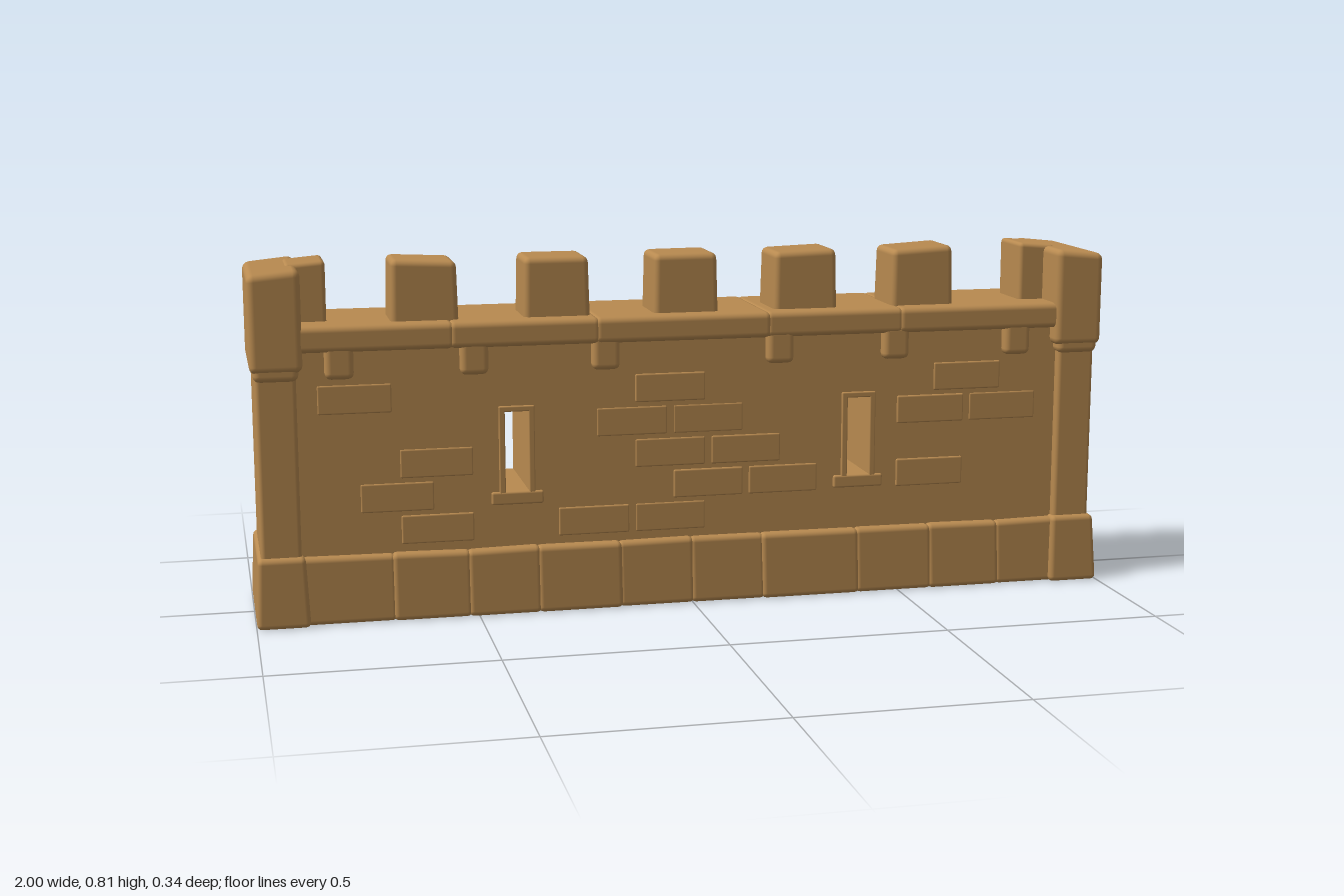
import * as THREE from 'three';
import { RoundedBoxGeometry } from 'three/addons/geometries/RoundedBoxGeometry.js';

const stone = new THREE.MeshStandardMaterial({ color: 0xb88a50 });
stone.name = 'sandstone';

// Small seeded generator for hand-cut irregularity
let seed = 7;
const rand = () => {
  seed = (seed * 16807) % 2147483647;
  return seed / 2147483647 - 0.5;
};

// Rounded stone between two corners; topX / topZ scale the upper end, lean tilts its top face
function block(name, [x0, x1], [y0, y1], [z0, z1], { r = 0.01, topX = 1, topZ = 1, lean = 0 } = {}) {
  const w = x1 - x0, h = y1 - y0, d = z1 - z0;
  const geo = new RoundedBoxGeometry(w, h, d, 2, Math.min(r, w / 3, h / 3, d / 3));
  const p = geo.attributes.position;
  for (let i = 0; i < p.count; i++) {
    const t = p.getY(i) / h + 0.5;
    p.setX(i, p.getX(i) * (1 + (topX - 1) * t));
    p.setZ(i, p.getZ(i) * (1 + (topZ - 1) * t));
    p.setY(i, p.getY(i) + lean * t * (p.getX(i) / w));
  }
  const mesh = new THREE.Mesh(geo, stone);
  mesh.position.set((x0 + x1) / 2, (y0 + y1) / 2, (z0 + z1) / 2);
  mesh.name = name;
  return mesh;
}

function rectPath(path, x0, x1, y0, y1) {
  path.moveTo(x0, y0);
  path.lineTo(x1, y0);
  path.lineTo(x1, y1);
  path.lineTo(x0, y1);
  path.closePath();
  return path;
}

const slit = 0.405; // arrow slit centre

// Curtain wall pierced by two arrow slits
function curtainWall() {
  const shape = rectPath(new THREE.Shape(), -0.93, 0.93, 0.02, 0.64);
  for (const s of [-1, 1]) {
    shape.holes.push(rectPath(new THREE.Path(), s * slit - 0.027, s * slit + 0.027, 0.28, 0.465));
  }
  const geo = new THREE.ExtrudeGeometry(shape, { depth: 0.24, bevelEnabled: false });
  geo.translate(0, 0, -0.12);
  const mesh = new THREE.Mesh(geo, stone);
  mesh.name = 'curtainWall';
  return mesh;
}

// Trim on one face of the wall: slit surrounds, sills, corbels, facing stones
function wallTrim(side) {
  const g = new THREE.Group();
  g.name = side > 0 ? 'frontTrim' : 'backTrim';
  const depth = (a, b) => (side > 0 ? [a, b] : [-b, -a]);
  for (const s of [-1, 1]) {
    const x = s * slit;
    for (const e of [-1, 1]) {
      const j = x + e * 0.034;
      g.add(block('slitJamb', [j - 0.007, j + 0.007], [0.27, 0.475], depth(0.1, 0.127), { r: 0.003 }));
    }
    g.add(block('slitLintel', [x - 0.041, x + 0.041], [0.465, 0.478], depth(0.1, 0.127), { r: 0.003 }));
    g.add(block('slitSill', [x - 0.06, x + 0.06], [0.25, 0.28], depth(0.1, 0.128), { r: 0.005 }));
  }
  for (const x of [-0.8, -0.5, -0.2, 0.21, 0.49, 0.79]) {
    g.add(block('corbel', [x - 0.032, x + 0.032], [0.555, 0.635], depth(0.09, 0.145), { r: 0.014, lean: rand() * 0.01 }));
  }
  // Facing stones standing barely proud of the wall
  for (let row = 0; row < 5; row++) {
    const y = 0.17 + row * 0.076;
    for (let x = -0.85 + (row % 2) * 0.09; x < 0.7; x += 0.18) {
      const keep = rand() > -0.1;
      const clear = Math.abs(Math.abs(x + 0.08) - slit) > 0.13;
      if (keep && clear) {
        g.add(block('facingStone', [x, x + 0.165], [y, y + 0.066], depth(0.11, 0.123 + rand() * 0.003), { r: 0.004 }));
      }
    }
  }
  return g;
}

// Battered footing made of uneven stones
function footing() {
  const g = new THREE.Group();
  g.name = 'footing';
  const joints = [-0.9, -0.69, -0.52, -0.36, -0.17, 0.0, 0.17, 0.4, 0.58, 0.75, 0.9];
  for (let i = 0; i < joints.length - 1; i++) {
    const d = 0.157 + rand() * 0.008;
    g.add(block('footingStone', [joints[i] - 0.004, joints[i + 1] + 0.004], [0, 0.152], [-d, d],
      { r: 0.012, topZ: 0.9 + rand() * 0.03, lean: rand() * 0.006 }));
  }
  return g;
}

// End pier: battered foot, shaft, flared head and inner half merlon
function pier(s) {
  const g = new THREE.Group();
  g.name = s > 0 ? 'leftPier' : 'rightPier';
  const span = (a, b) => (s > 0 ? [a, b] : [-b, -a]);
  g.add(block('pierFoot', span(0.88, 1), [0, 0.158], [-0.17, 0.17], { r: 0.012, topX: 0.88, topZ: 0.91 }));
  g.add(block('pierShaft', span(0.895, 0.985), [0.1, 0.62], [-0.137, 0.14]));
  g.add(block('pierCollar', span(0.89, 0.988), [0.555, 0.6], [-0.141, 0.152], { r: 0.015, topX: 1.06 }));
  g.add(block('pierHead', span(0.88, 0.996), [0.575, 0.798], [-0.138, 0.157], { r: 0.016, lean: -s * 0.012 }));
  g.add(block('halfMerlon', span(0.82, 0.91), [0.64, 0.808], [-0.065, 0.065], { r: 0.01, lean: -s * 0.008 }));
  return g;
}

export function createModel() {
  const model = new THREE.Group();
  model.name = 'castleWall';
  model.add(curtainWall(), wallTrim(1), wallTrim(-1), footing());

  // Walkway slabs overhanging both faces
  const slabs = [-0.92, -0.55, -0.22, 0.18, 0.5, 0.92];
  for (let i = 0; i < slabs.length - 1; i++) {
    const d = 0.149 + rand() * 0.004;
    model.add(block('walkwaySlab', [slabs[i] - 0.006, slabs[i + 1] + 0.006], [0.617, 0.676], [-d, d], { r: 0.014 }));
  }

  // Merlons along the front of the walkway
  for (const x of [-0.605, -0.305, -0.005, 0.28, 0.565]) {
    model.add(block('merlon', [x - 0.077, x + 0.077], [0.65, 0.81], [-0.04, 0.103],
      { r: 0.014, topX: 0.95, topZ: 0.95, lean: rand() * 0.02 }));
  }

  model.add(pier(1), pier(-1));
  return model;
}
